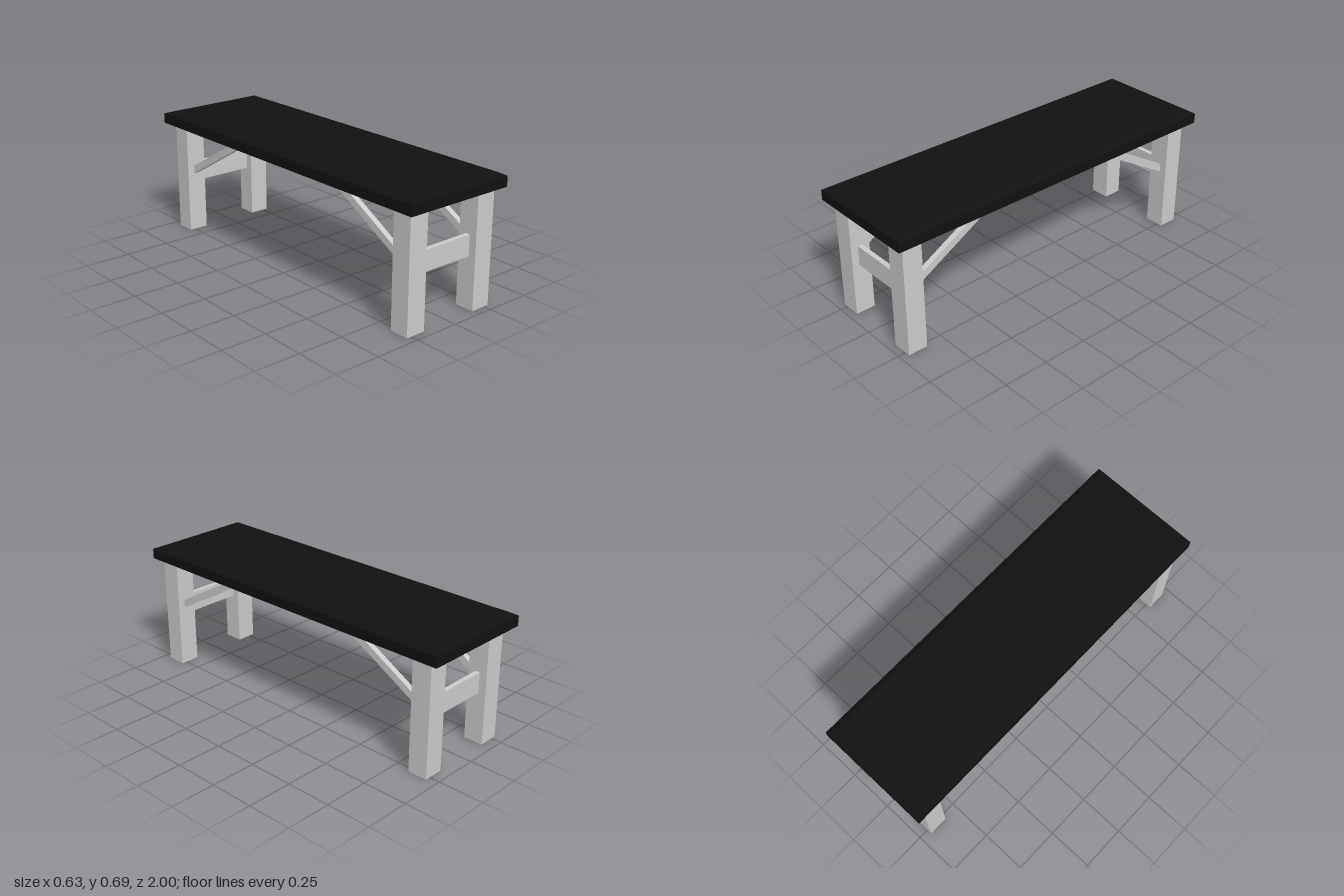
import * as THREE from 'three';

const grey = new THREE.MeshStandardMaterial({ color: 0xcccccc, flatShading: true });
const black = new THREE.MeshStandardMaterial({ color: 0x111111, flatShading: true });

function addBox(parent, name, [w, h, d], [x, y, z]) {
  const mesh = new THREE.Mesh(new THREE.BoxGeometry(w, h, d), grey);
  mesh.name = name;
  mesh.position.set(x, y, z);
  parent.add(mesh);
}

// Slab whose upper rim is chamfered on all four sides
function tabletop() {
  const geo = new THREE.BoxGeometry(0.634, 0.07, 2, 1, 2, 1);
  const p = geo.attributes.position;
  for (let i = 0; i < p.count; i++) {
    const y = p.getY(i);
    if (Math.abs(y) < 0.01) p.setY(i, 0.02);
    else if (y > 0) {
      p.setX(i, Math.sign(p.getX(i)) * 0.29);
      p.setZ(i, Math.sign(p.getZ(i)) * 0.955);
    }
  }
  geo.computeVertexNormals();
  const mesh = new THREE.Mesh(geo, black);
  mesh.name = 'tabletop';
  mesh.position.y = 0.655;
  return mesh;
}

// Slanted strut from the inner face of a leg up to the tabletop;
// u is the distance from the leg's centre towards the middle
function braceGeometry(width) {
  const shape = new THREE.Shape([[0.054, 0.34], [0.548, 0.62], [0.469, 0.62], [0.054, 0.385]]
    .map(([u, y]) => new THREE.Vector2(u, y)));
  const geo = new THREE.ExtrudeGeometry(shape, { depth: width, bevelEnabled: false });
  geo.translate(0, 0, -width / 2);
  geo.rotateY(Math.PI / 2); // u now runs towards -z
  return geo;
}

// Pair of legs with crossbar and braces, facing +z
function trestle(name, brace) {
  const group = new THREE.Group();
  group.name = name;
  for (const x of [-0.2225, 0.2225]) {
    addBox(group, 'leg', [0.111, 0.62, 0.108], [x, 0.31, 0]);
    const strut = new THREE.Mesh(brace, grey);
    strut.name = 'brace';
    strut.position.x = x;
    group.add(strut);
  }
  addBox(group, 'crossbar', [0.334, 0.112, 0.026], [0, 0.334, 0]);
  return group;
}

export function createModel() {
  const model = new THREE.Group();
  model.name = 'trestleTable';
  model.add(tabletop());

  const brace = braceGeometry(0.03);
  const front = trestle('frontTrestle', brace);
  front.position.z = 0.903;
  const back = trestle('backTrestle', brace);
  back.position.z = -0.889;
  back.rotation.y = Math.PI;
  model.add(front, back);
  return model;
}
